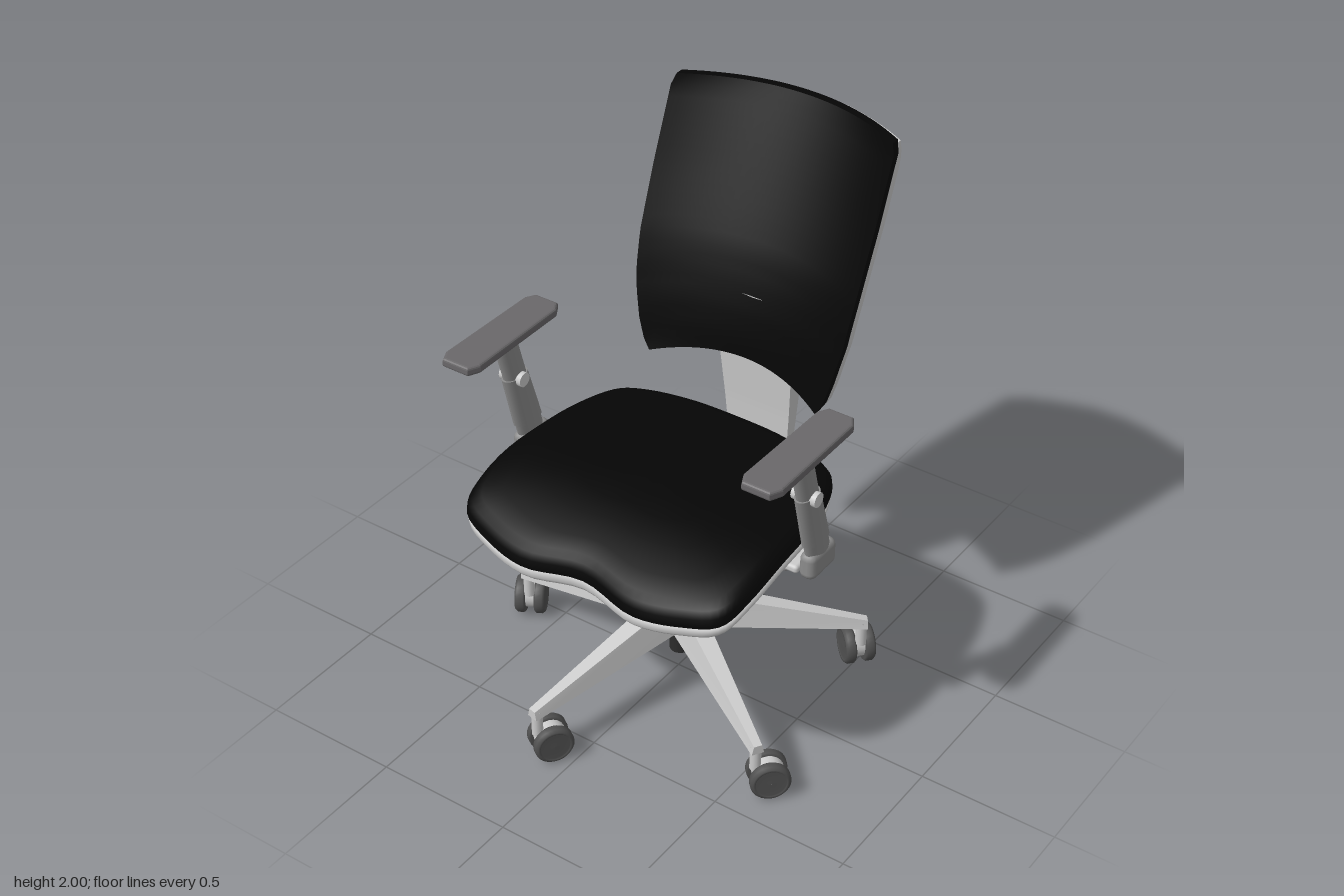
import * as THREE from 'three';
import { RoundedBoxGeometry } from 'three/addons/geometries/RoundedBoxGeometry.js';

const mat = (color) => new THREE.MeshStandardMaterial({ color });
const GREY = mat(0xcccccc), BLACK = mat(0x050505), DARK = mat(0x2c2c2c);
const WHEEL = mat(0x505050), PAD = mat(0x6a686a), POST = mat(0x8c8c8c);
const { lerp, smoothstep } = THREE.MathUtils;

// Piecewise linear lookup in [[key, value], ...]
function table(rows, k) {
  for (let i = 1; i < rows.length; i++) {
    if (k <= rows[i][0] || i === rows.length - 1) {
      const [a, b] = [rows[i - 1], rows[i]];
      return lerp(a[1], b[1], THREE.MathUtils.clamp((k - a[0]) / (b[0] - a[0]), 0, 1));
    }
  }
}

function add(parent, name, geometry, material, x = 0, y = 0, z = 0) {
  const m = new THREE.Mesh(geometry, material);
  m.name = name;
  m.position.set(x, y, z);
  parent.add(m);
  return m;
}

const cyl = (rTop, rBottom, h, n = 24) => new THREE.CylinderGeometry(rTop, rBottom, h, n);
const box = (w, h, d, r = 0.012) => new RoundedBoxGeometry(w, h, d, 2, r);

// Moves the vertices of a unit geometry (0..1 on each axis) by a rule
function warp(g, rule) {
  const p = g.attributes.position;
  for (let i = 0; i < p.count; i++) p.setXYZ(i, ...rule(p.getX(i) + 0.5, p.getY(i) + 0.5, p.getZ(i) + 0.5));
  g.computeVertexNormals();
  return g;
}
const warpBox = (nx, ny, nz, rule) => warp(new THREE.BoxGeometry(1, 1, 1, nx, ny, nz), rule);

// ---- Seat: rings of one outline, [scale, y] from bottom to top ----
const half = [[0.2, -0.29], [0.36, -0.25], [0.44, -0.2], [0.505, -0.04], [0.535, 0.2], [0.54, 0.43],
  [0.51, 0.545], [0.39, 0.6], [0.22, 0.63]];
const outline = new THREE.CatmullRomCurve3([[0, -0.3], ...half, [0, 0.593], ...half.map(([x, z]) => [-x, z]).reverse()]
  .map(([x, z]) => new THREE.Vector3(x, 0, z)), true).getPoints(96).slice(0, 96);

function seatLoft(rings) {
  const pos = [], idx = [], n = outline.length, zc = 0.15;
  for (const [s, y] of rings) {
    for (const p of outline) {
      const z = zc + (p.z - zc) * s;
      pos.push(p.x * s, y - 0.1 * (Math.max(0, z - 0.2) / 0.42) ** 2, z);
    }
  }
  for (let r = 0; r < rings.length - 1; r++) {
    for (let i = 0; i < n; i++) {
      const a = r * n + i, b = r * n + (i + 1) % n;
      idx.push(a, a + n, b, b, a + n, b + n);
    }
  }
  const g = new THREE.BufferGeometry();
  g.setAttribute('position', new THREE.Float32BufferAttribute(pos, 3));
  g.setIndex(idx);
  g.computeVertexNormals();
  return g;
}

function makeSeat() {
  const g = new THREE.Group();
  g.name = 'seat';
  add(g, 'seatCushion', seatLoft([[0.95, 0.852], [0.985, 0.86], [1, 0.88], [0.995, 0.905], [0.97, 0.925], [0.92, 0.936],
    [0.8, 0.94], [0.6, 0.942], [0.4, 0.942], [0.2, 0.942], [0.001, 0.942]]), BLACK);
  // Shell with a raised rim around a recessed underside
  add(g, 'seatShell', seatLoft([[0.001, 0.825], [0.25, 0.825], [0.5, 0.825], [0.75, 0.827], [0.83, 0.825], [0.86, 0.812],
    [0.93, 0.81], [0.97, 0.82], [0.99, 0.838], [0.995, 0.865], [0.95, 0.868]]), GREY);
  return g;
}

// ---- Mechanism under the seat ----
function makeMechanism() {
  const g = new THREE.Group();
  g.name = 'mechanism';
  add(g, 'tiltHousing', warpBox(1, 1, 1, (x, y, z) => [
    (x - 0.5) * lerp(0.2, 0.34, y), lerp(0.695, 0.83, y), lerp(lerp(-0.02, -0.15, y), lerp(0.2, 0.38, y), z)]), POST);
  add(g, 'tensionKnob', cyl(0.05, 0.036, 0.12, 16), POST, 0, 0.655, 0.21);
  add(g, 'tensionKnobRim', cyl(0.04, 0.042, 0.02, 16), DARK, 0, 0.605, 0.21);
  add(g, 'backCarrier', box(0.2, 0.045, 0.22), GREY, 0, 0.77, -0.14);
  const path = new THREE.CatmullRomCurve3([[0.77, -0.2], [0.765, -0.28], [0.745, -0.36], [0.75, -0.46]]
    .map(([y, z]) => new THREE.Vector3(0, y, z)));
  for (const x of [-0.06, 0.06]) add(g, 'backRod', new THREE.TubeGeometry(path, 16, 0.012, 8), GREY, x);
  for (const s of [-1, 1]) {
    add(g, 'armBracket', box(0.4, 0.03, 0.13), GREY, s * 0.34, 0.79, 0.1);
    add(g, 'armClamp', box(0.12, 0.03, 0.1), POST, s * 0.44, 0.765, 0.11).rotation.z = s * 0.25;
    add(g, 'lever', cyl(0.009, 0.009, 0.22, 10), DARK, s * 0.26, 0.785, 0.26).rotation.z = Math.PI / 2;
    add(g, 'leverPaddle', box(0.1, 0.02, 0.05, 0.008), DARK, s * 0.39, 0.785, 0.26);
  }
  return g;
}

// ---- Backrest: u across (-1..1), v up (0..1), off = depth offset ----
const halfWidth = [[0, 0.335], [0.03, 0.355], [0.12, 0.38], [0.28, 0.41], [0.45, 0.422], [0.7, 0.428], [0.98, 0.428], [1, 0.415]];
const sideDepth = [[1.09, -0.245], [1.2, -0.252], [1.3, -0.267], [1.4, -0.29], [1.5, -0.32], [1.6, -0.36], [2, -0.523]];
function backPoint(u, v, off) {
  const y = lerp(1.09 + 0.05 * (1 - u * u), 2, v);
  return [u * table(halfWidth, v), y, table(sideDepth, y) - (0.08 + 0.04 * v) * (1 - u * u) + off];
}
const val = (f, ...a) => (typeof f === 'function' ? f(...a) : f);
function backSlab(u0, u1, v0, v1, rear, front, nu = 24, nv = 24) {
  return warpBox(nu, nv, 1, (x, y, z) => {
    const u = lerp(u0, u1, x), v = lerp(val(v0, u), val(v1, u), y);
    return backPoint(u, v, lerp(val(rear, u, v), front, z));
  });
}

function makeBackrest() {
  const g = new THREE.Group();
  g.name = 'backrest';
  add(g, 'backCushion', backSlab(-1, 1, 0, 1, -0.03, 0), BLACK);
  // Rim, thinning towards the top edge
  const rim = (u, v) => lerp(-0.068, -0.045, smoothstep(v, 0.9, 1));
  for (const s of [-1, 1]) {
    add(g, 'frameSide', backSlab(s < 0 ? -0.99 : 0.87, s < 0 ? -0.87 : 0.99, 0.004, 0.99, rim, -0.028, 3, 30), GREY);
    for (const v of [0.04, 0.5, 0.95]) {
      const [x, y, z] = backPoint(s * 0.93, v, rim(0, v));
      add(g, 'frameScrew', new THREE.SphereGeometry(0.01, 10, 8), DARK, x, y, z);
    }
  }
  add(g, 'frameTop', backSlab(-0.88, 0.88, 0.93, 0.99, rim, -0.028, 24, 4), GREY);
  add(g, 'frameBottom', backSlab(-0.88, 0.88, 0.004, 0.06, rim, -0.028, 24, 2), GREY);
  // Half-moon grip under the top rail
  add(g, 'gripTab', backSlab(-0.3, 0.3, (u) => 0.935 - 0.085 * Math.sqrt(Math.max(0, 1 - (u / 0.3) ** 2)), 0.95, -0.095, -0.06, 20, 4), GREY);
  // Lumbar panel with open windows on both sides of the upright
  const bulge = (u, v) => lerp(-0.06 - 0.07 * (1 - u * u) ** 2, -0.045, smoothstep(v, 0.16, 0.38));
  add(g, 'lumbarPanel', backSlab(-0.9, 0.9, 0.17, (u) => 0.36 + 0.09 * u * u, bulge, -0.028, 28, 12), GREY);
  add(g, 'panelCentre', backSlab(-0.45, 0.45, 0.01, 0.2, bulge, -0.028, 16, 6), GREY);
  // Upright, rounded at the rear, flaring into the panel and tapering to its foot
  const width = [[0.6, 0.085], [0.63, 0.105], [0.75, 0.12], [1.05, 0.142], [1.15, 0.15], [1.22, 0.18], [1.36, 0.25]];
  const rear = [[0.6, -0.475], [0.63, -0.487], [1.15, -0.505], [1.24, -0.5], [1.36, -0.45]];
  const fore = [[0.6, -0.425], [0.9, -0.41], [1.15, -0.39], [1.25, -0.37], [1.36, -0.37]];
  add(g, 'backUpright', warpBox(16, 30, 1, (x, y, z) => {
    const s = x * 2 - 1, h = lerp(0.6, 1.36, y);
    const groove = 0.02 * Math.exp(-((s / 0.3) ** 2)) * Math.exp(-(((h - 1.1) / 0.14) ** 2));
    const back = table(rear, h) + lerp(0.035, 0.07, smoothstep(h, 1.1, 1.3)) * Math.abs(s) ** 3 + groove;
    return [s * table(width, h), h, lerp(back, table(fore, h), z)];
  }), GREY);
  return g;
}

// ---- Armrest on the given side ----
function makeArmrest(side) {
  const g = new THREE.Group();
  g.name = side > 0 ? 'leftArmrest' : 'rightArmrest';
  const x = side * 0.58;
  const s = new THREE.Shape([[-0.04, -0.23], [0.04, -0.23], [0.058, -0.2], [0.062, 0.2], [0.045, 0.235], [-0.045, 0.235],
    [-0.062, 0.2], [-0.058, -0.2]].map(([a, b]) => new THREE.Vector2(a, b)));
  const pad = new THREE.ExtrudeGeometry(s, { depth: 0.014, bevelSize: 0.01, bevelThickness: 0.01, bevelSegments: 3 });
  pad.rotateX(Math.PI / 2);
  add(g, 'armPad', pad, PAD, x, 1.324, 0.235);
  add(g, 'padMount', box(0.08, 0.022, 0.24, 0.01), PAD, x, 1.29, 0.23);
  // Slanted oval post: wide lower sleeve and slimmer upper slider
  const post = (y0, y1, w, d0, d1) => warp(new THREE.CylinderGeometry(0.5, 0.5, 1, 28), (a, b, c) => {
    const y = lerp(y0, y1, b);
    return [x + (a - 0.5) * w, y, 0.11 + (y - 0.87) * 0.28 + (c - 0.5) * lerp(d0, d1, b)];
  });
  add(g, 'armSlider', post(0.9, 1.285, 0.058, 0.1, 0.1), POST);
  add(g, 'armSleeve', post(0.92, 1.13, 0.066, 0.13, 0.115), POST);
  add(g, 'armNeck', post(0.84, 0.93, 0.056, 0.12, 0.12), POST);
  add(g, 'armFoot', box(0.06, 0.1, 0.15, 0.025), POST, x, 0.83, 0.105);
  add(g, 'armFootTip', box(0.05, 0.05, 0.07, 0.015), POST, x - side * 0.005, 0.795, 0.12);
  add(g, 'heightButton', cyl(0.026, 0.026, 0.09, 16), GREY, x, 1.125, 0.185).rotation.z = Math.PI / 2;
  return g;
}

// ---- Five-star base with casters ----
function makeBase() {
  const g = new THREE.Group();
  g.name = 'base';
  add(g, 'gasSleeve', cyl(0.046, 0.046, 0.28), DARK, 0, 0.42, 0);
  add(g, 'gasSleeveLower', cyl(0.042, 0.038, 0.16), DARK, 0, 0.215, 0);
  add(g, 'gasPiston', cyl(0.021, 0.021, 0.18), GREY, 0, 0.63, 0);
  add(g, 'hub', cyl(0.06, 0.075, 0.12, 10), GREY, 0, 0.335, 0);
  const swivel = [[-0.025, -0.045], [0.03, -0.045], [0.03, -0.03], [-0.04, -0.035], [-0.05, 0.008]];
  swivel.forEach(([dx, dz], i) => {
    const a = THREE.MathUtils.degToRad(176 - 72 * i);
    const leg = add(g, 'baseLeg', warpBox(1, 1, 1, (x, y, z) => [lerp(0.02, 0.655, x),
      y > 0.5 ? lerp(0.4, 0.215, x) : lerp(0.27, 0.182, x),
      (z - 0.5) * lerp(0.12, 0.045, x) * (y > 0.5 ? 0.65 : 1)]), GREY);
    leg.rotation.y = -a;
    const c = new THREE.Group();
    c.name = 'caster';
    c.position.set(0.635 * Math.cos(a), 0, 0.635 * Math.sin(a));
    c.rotation.y = -Math.atan2(dz, dx);
    g.add(c);
    add(c, 'casterStem', cyl(0.02, 0.02, 0.1, 12), GREY, 0, 0.155, 0);
    add(c, 'casterBody', cyl(0.055, 0.055, 0.04, 20), GREY, 0.045, 0.078, 0).rotation.x = Math.PI / 2;
    for (const s of [-1, 1]) {
      // Wheel with rounded tread and recessed cap
      const wheel = new THREE.LatheGeometry([[0.001, -0.019], [0.064, -0.019], [0.07, -0.012], [0.07, 0.01], [0.062, 0.019],
        [0.054, 0.019], [0.052, 0.015], [0.001, 0.017]].map(([r, h]) => new THREE.Vector2(r, h)), 28);
      add(c, 'casterWheel', wheel, WHEEL, 0.045, 0.07, s * 0.035).rotation.x = s * Math.PI / 2;
    }
  });
  return g;
}

export function createModel() {
  const model = new THREE.Group();
  model.name = 'officeChair';
  const chair = new THREE.Group();
  chair.name = 'chair';
  chair.position.x = 0.04;
  model.add(chair);
  const base = makeBase();
  base.position.z = 0.045;
  chair.add(base, makeMechanism(), makeSeat(), makeBackrest(), makeArmrest(1), makeArmrest(-1));
  return model;
}
